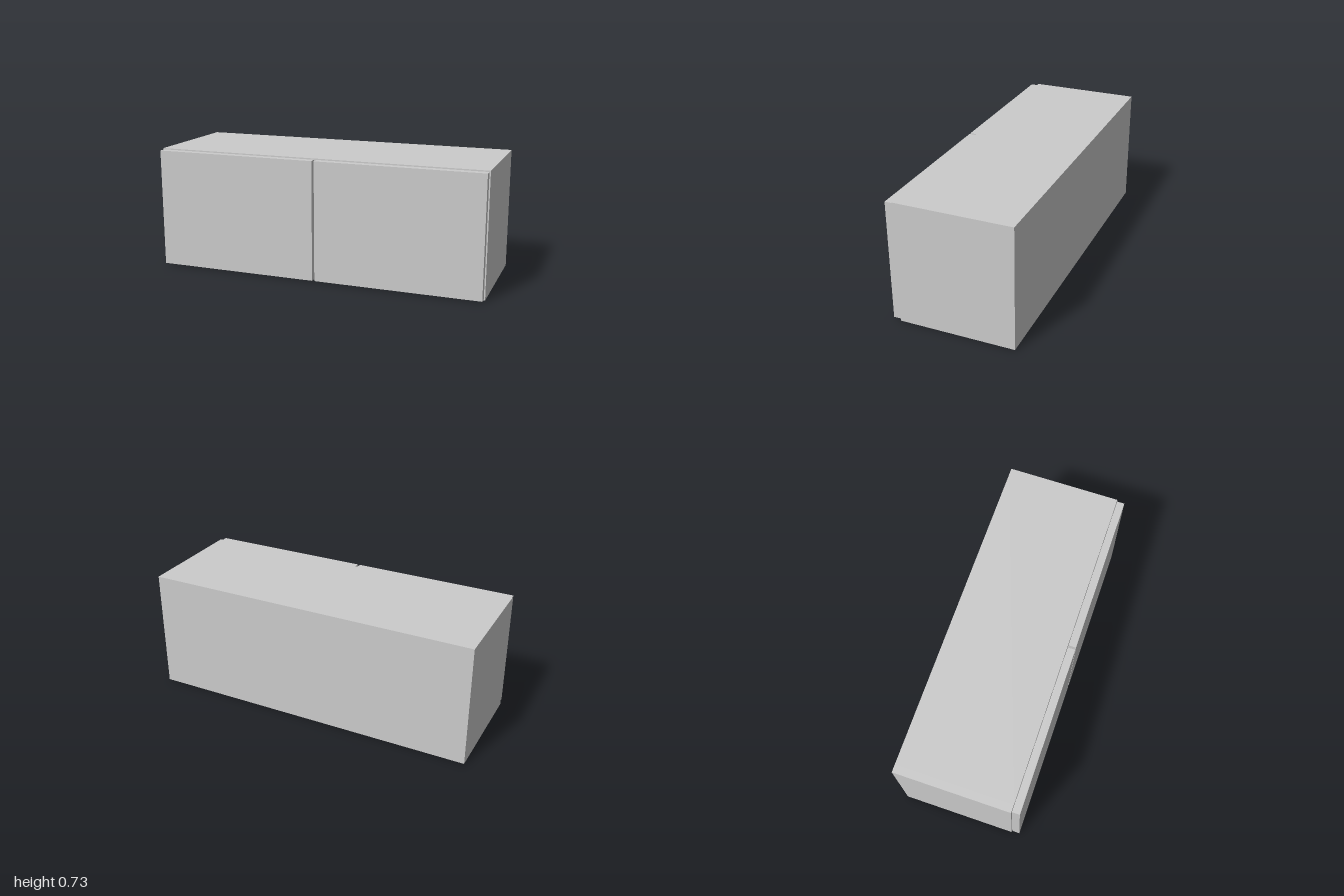
import * as THREE from 'three';

const W = 2, H = 0.727, T = 0.045;        // overall width, height, board thickness
const BACK = -0.364, FRONT = 0.317;       // carcass depth range

export function createModel() {
  const group = new THREE.Group();
  const material = new THREE.MeshStandardMaterial({ color: 0xcccccc });

  // A board given by its extents on each axis
  function board(name, [x0, x1], [y0, y1], [z0, z1]) {
    const mesh = new THREE.Mesh(new THREE.BoxGeometry(x1 - x0, y1 - y0, z1 - z0), material);
    mesh.position.set((x0 + x1) / 2, (y0 + y1) / 2, (z0 + z1) / 2);
    mesh.name = name;
    group.add(mesh);
  }

  const inner = [-W / 2 + T, W / 2 - T];
  const depth = [BACK, FRONT];

  // Carcass
  board('rightSide', [-W / 2, inner[0]], [0, H], depth);
  board('leftSide', [inner[1], W / 2], [0, H], depth);
  board('bottom', inner, [0, T], depth);
  board('top', inner, [H - T, H], depth);
  board('back', inner, [T, H - T], [BACK, BACK + T]);
  board('shelf', inner, [(H - T) / 2, (H + T) / 2], [BACK + T, FRONT]);

  // Pair of doors with a narrow gap between them
  const doorY = [0.008, 0.72], doorZ = [FRONT + 0.002, 0.364];
  board('rightDoor', [-0.993, -0.007], doorY, doorZ);
  board('leftDoor', [0.007, 0.993], doorY, doorZ);

  return group;
}
